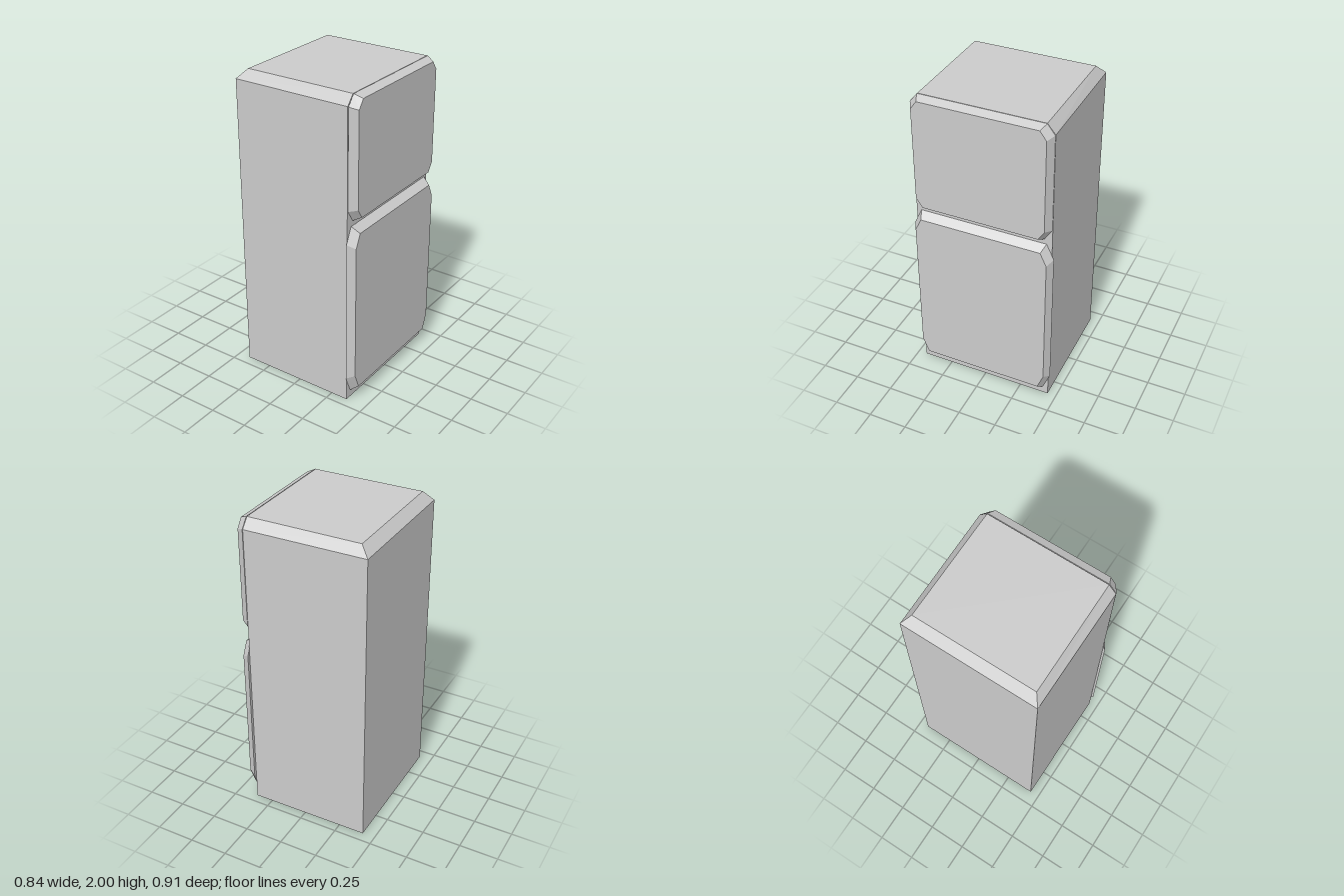
import * as THREE from 'three';

const material = new THREE.MeshStandardMaterial({ color: 0xcccccc, flatShading: true });

// Skin a stack of equal-length rings (counter-clockwise seen from the last ring's end), capped at both ends
function loft(name, rings) {
  const pos = [];
  const tri = (a, b, c) => pos.push(...a, ...b, ...c);
  const n = rings[0].length;
  for (let r = 0; r < rings.length - 1; r++) {
    const lo = rings[r], hi = rings[r + 1];
    for (let i = 0; i < n; i++) {
      const j = (i + 1) % n;
      tri(lo[i], lo[j], hi[j]);
      tri(lo[i], hi[j], hi[i]);
    }
  }
  const first = rings[0], last = rings[rings.length - 1];
  for (let i = 1; i < n - 1; i++) {
    tri(first[0], first[i + 1], first[i]);
    tri(last[0], last[i], last[i + 1]);
  }
  const geometry = new THREE.BufferGeometry();
  geometry.setAttribute('position', new THREE.Float32BufferAttribute(pos, 3));
  geometry.computeVertexNormals();
  const mesh = new THREE.Mesh(geometry, material);
  mesh.name = name;
  return mesh;
}

// Horizontal rectangle; the door side is a touch wider than the back
const bodyRing = (y, backX, backZ, doorZ) => [
  [0.363, y, doorZ], [0.363, y, -doorZ], [backX, y, -backZ], [backX, y, backZ],
];

// Upright octagon at depth x: half width z, height y0..y1, corners cut by cz across and c0 / c1 up
const doorRing = (x, z, y0, y1, cz, c0, c1) => [
  [x, y0, z - cz], [x, y0, cz - z], [x, y0 + c0, -z], [x, y1 - c1, -z],
  [x, y1, cz - z], [x, y1, z - cz], [x, y1 - c1, z], [x, y0 + c0, z],
];

export function createModel() {
  const group = new THREE.Group();
  group.name = 'refrigerator';

  // Cabinet, with the top edge bevelled on every side but the door side
  group.add(loft('cabinet', [
    bodyRing(0, -0.418, 0.438, 0.443),
    bodyRing(1.94, -0.418, 0.438, 0.443),
    bodyRing(2, -0.36, 0.393, 0.393),
  ]));

  // Doors, with cut corners and a bevelled rim
  group.add(loft('freezerDoor', [
    doorRing(0.367, 0.442, 1.235, 2, 0.048, 0.075, 0.062),
    doorRing(0.417, 0.413, 1.26, 1.977, 0.04, 0.06, 0.055),
  ]));
  group.add(loft('mainDoor', [
    doorRing(0.367, 0.457, 0.053, 1.203, 0.048, 0.115, 0.1),
    doorRing(0.417, 0.43, 0.09, 1.165, 0.04, 0.1, 0.085),
  ]));

  return group;
}
